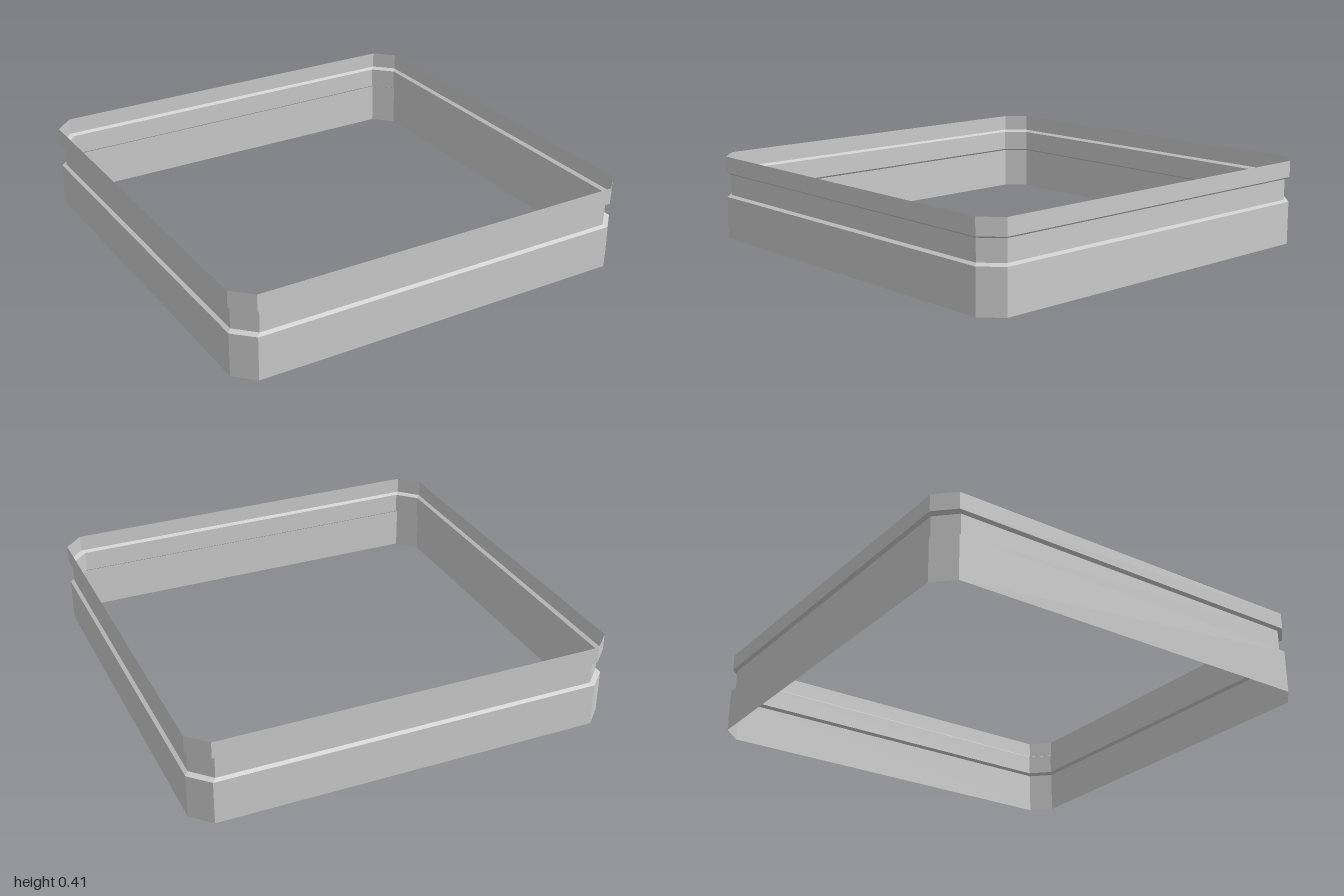
import * as THREE from 'three';

const CHAMFER = 0.088;

// Square outline with cut corners, counter-clockwise seen from above
function outline(half, y) {
  const a = half, b = half - CHAMFER;
  return [[a, b], [a, -b], [b, -a], [-b, -a], [-a, -b], [-a, b], [-b, a], [b, a]]
    .map(([x, z]) => new THREE.Vector3(x, y, z));
}

// Thin band of flat panels between two outlines
function band(name, [half0, y0], [half1, y1], material) {
  const low = outline(half0, y0), high = outline(half1, y1), points = [];
  low.forEach((p, i) => {
    const j = (i + 1) % low.length;
    points.push(p, low[j], high[j], p, high[j], high[i]);
  });
  const geometry = new THREE.BufferGeometry().setFromPoints(points);
  geometry.computeVertexNormals();
  const mesh = new THREE.Mesh(geometry, material);
  mesh.name = name;
  return mesh;
}

export function createModel() {
  const group = new THREE.Group();
  group.name = 'frame';
  const material = new THREE.MeshStandardMaterial({
    color: 0xcccccc, flatShading: true, side: THREE.DoubleSide,
  });

  // Wall profile from bottom to top: half width, height
  const profile = [[1, 0], [1, 0.206], [0.984, 0.216], [0.984, 0.316], [1, 0.326], [1, 0.405]];
  const names = ['lowerWall', 'lowerLedge', 'grooveWall', 'upperLedge', 'upperWall'];
  names.forEach((name, i) => group.add(band(name, profile[i], profile[i + 1], material)));
  return group;
}
